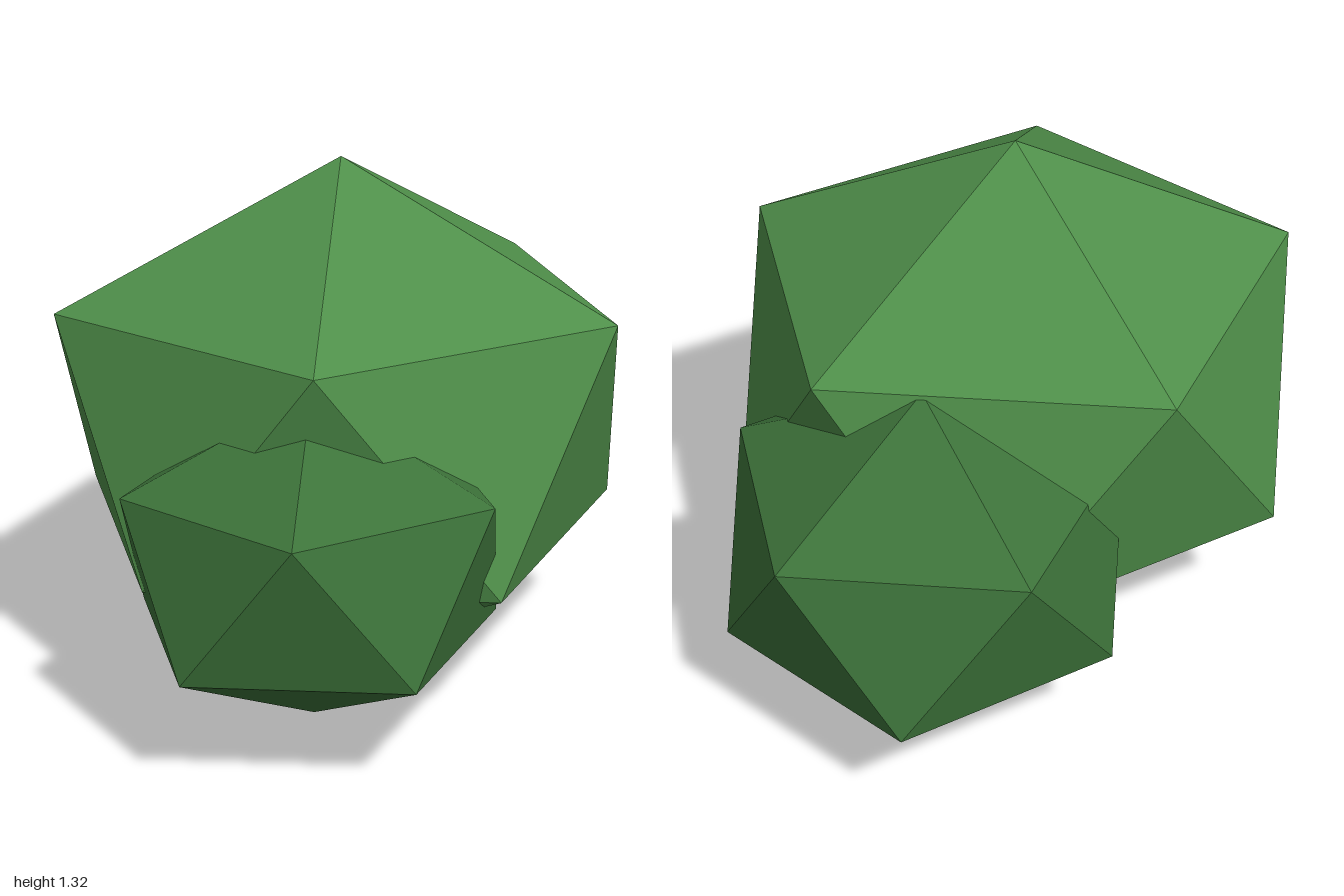
import * as THREE from 'three';

// Squashed icosahedron standing on a point, with an upper-ring corner facing +x
function clump(name, radius, position, color) {
  const geometry = new THREE.IcosahedronGeometry(radius, 0);
  geometry.rotateZ(-Math.atan(2 / (1 + Math.sqrt(5))));
  geometry.scale(1, 0.8, 1);
  const mesh = new THREE.Mesh(
    geometry,
    new THREE.MeshStandardMaterial({ color, flatShading: true })
  );
  mesh.name = name;
  mesh.position.set(...position);
  return mesh;
}

export function createModel() {
  const bush = new THREE.Group();
  bush.name = 'bush';
  bush.add(
    // Large central foliage
    clump('mainFoliage', 0.823, [-0.078, 0.659, -0.025], 0x4f8f4a),
    // Smaller, darker foliage on both sides
    clump('leftFoliage', 0.562, [0.493, 0.503, -0.23], 0x3d733a),
    clump('rightFoliage', 0.516, [-0.54, 0.457, 0.283], 0x3d733a)
  );
  return bush;
}
